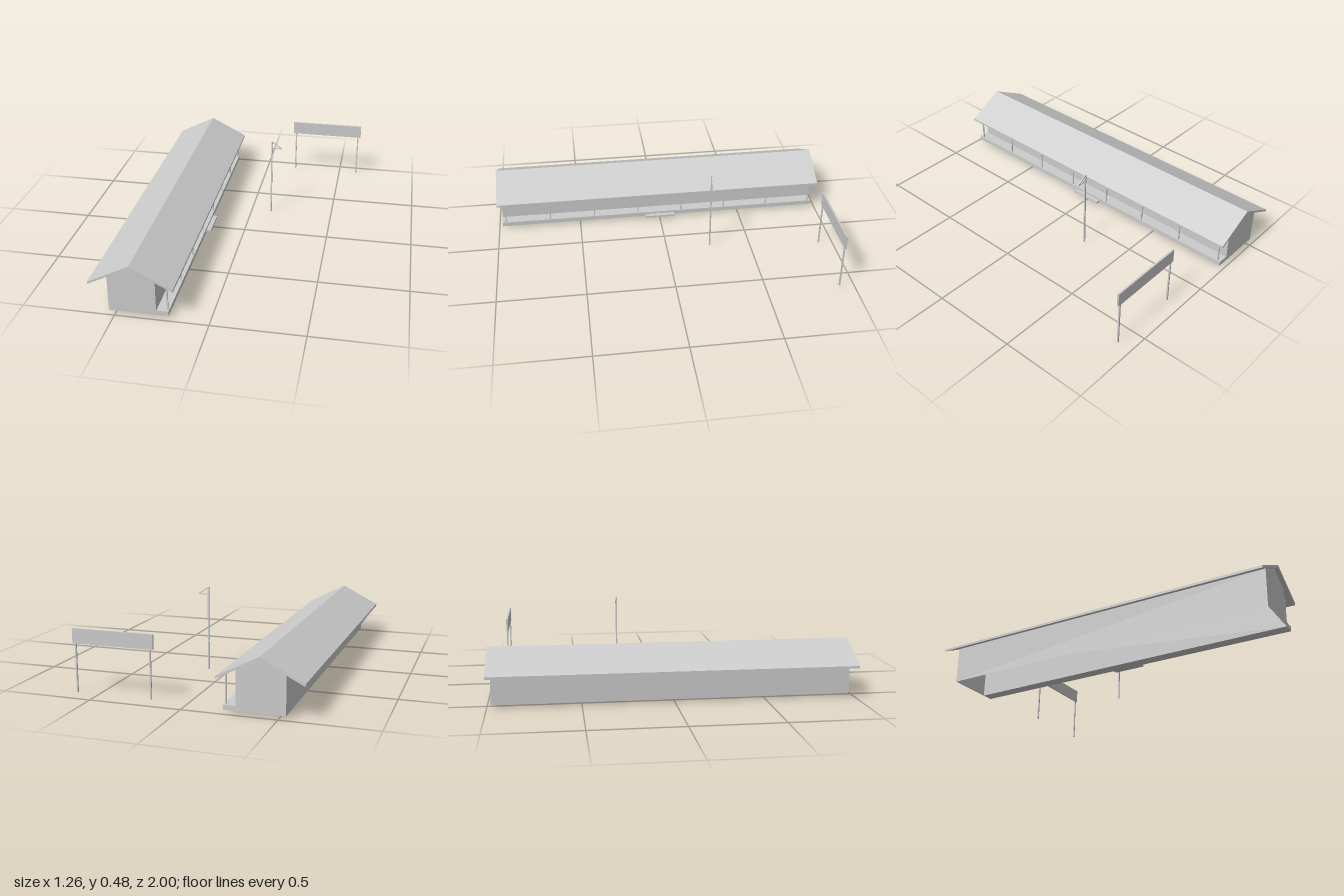
import * as THREE from 'three';

const grey = new THREE.MeshStandardMaterial({ color: 0xcccccc, flatShading: true });
const thin = new THREE.MeshStandardMaterial({ color: 0xcccccc, flatShading: true, side: THREE.DoubleSide });

export function createModel() {
  const model = new THREE.Group();

  const add = (name, geometry, parent = model, material = grey) => {
    const mesh = new THREE.Mesh(geometry, material);
    mesh.name = name;
    parent.add(mesh);
    return mesh;
  };
  // Box given by its lower and upper limits on each axis
  const box = (name, [x0, x1], [y0, y1], [z0, z1], parent) => {
    const mesh = add(name, new THREE.BoxGeometry(x1 - x0, y1 - y0, z1 - z0), parent);
    mesh.position.set((x0 + x1) / 2, (y0 + y1) / 2, (z0 + z1) / 2);
    return mesh;
  };
  const around = (c, size) => [c - size / 2, c + size / 2];
  const group = (name) => {
    const g = new THREE.Group();
    g.name = name;
    model.add(g);
    return g;
  };
  const outline = (points) => new THREE.Shape(points.map(([x, y]) => new THREE.Vector2(x, y)));

  // Long house: shell walls, open underneath
  const house = group('house');
  const ridgeX = -0.408, half = 0.127, base = 0.015, wallTop = 0.226, end = 0.978;
  const gable = outline([
    [ridgeX - half, base], [ridgeX + half, base], [ridgeX + half, wallTop],
    [ridgeX, 0.29], [ridgeX - half, wallTop],
  ]);
  for (const side of [-1, 1]) {
    const gableWall = add('gableWall', new THREE.ShapeGeometry(gable), house, thin);
    gableWall.position.z = side * end;
    if (side < 0) {
      gableWall.rotation.y = Math.PI;
      gableWall.position.x = 2 * ridgeX;
    }
    const wall = add('longWall', new THREE.PlaneGeometry(2 * end, wallTop - base), house, thin);
    wall.rotation.y = side * Math.PI / 2;
    wall.position.set(ridgeX + side * half, (wallTop + base) / 2, 0);
  }

  // Pitched roof with overhanging eaves
  const reach = 0.225;
  const roof = add('roof', new THREE.ExtrudeGeometry(outline([
    [ridgeX - reach, 0.189], [ridgeX - reach, 0.176], [ridgeX, 0.29],
    [ridgeX + reach, 0.176], [ridgeX + reach, 0.189], [ridgeX, 0.304],
  ]), { depth: 2, bevelEnabled: false }), house);
  roof.position.z = -1;

  // Veranda: floor, step and a row of posts
  const veranda = group('veranda');
  box('verandaFloor', [ridgeX + half, -0.216], [base, 0.041], [-end, end], veranda);
  box('verandaStep', [-0.216, -0.19], [0.016, 0.028], [-0.09, 0.09], veranda);
  for (let i = 0; i < 8; i++) {
    const z = -0.957 + (i * 1.914) / 7;
    box('verandaPost', around(-0.225, 0.007), [0.041, 0.202], around(z, 0.007), veranda);
  }

  // Entrance sign on two posts
  const sign = group('entranceSign');
  const signZ = -0.915;
  box('signBoard', [0.177, 0.631], [0.27, 0.35], around(signZ, 0.01), sign);
  for (const x of [0.195, 0.614]) {
    box('signPost', around(x, 0.008), [0.007, 0.27], around(signZ, 0.008), sign);
  }

  // Flagpole with a triangular pennant frame
  const flagpole = group('flagpole');
  const flagZ = -0.26;
  box('pole', around(0.123, 0.008), [0, 0.482], around(flagZ, 0.008), flagpole);
  const pennant = outline([[0.125, 0.482], [0.125, 0.437], [0.182, 0.437], [0.182, 0.443]]);
  pennant.holes.push(new THREE.Path([
    new THREE.Vector2(0.128, 0.474), new THREE.Vector2(0.172, 0.442), new THREE.Vector2(0.128, 0.442),
  ]));
  add('pennantFrame', new THREE.ExtrudeGeometry(pennant, { depth: 0.005, bevelEnabled: false }), flagpole)
    .position.z = flagZ - 0.0025;

  return model;
}
